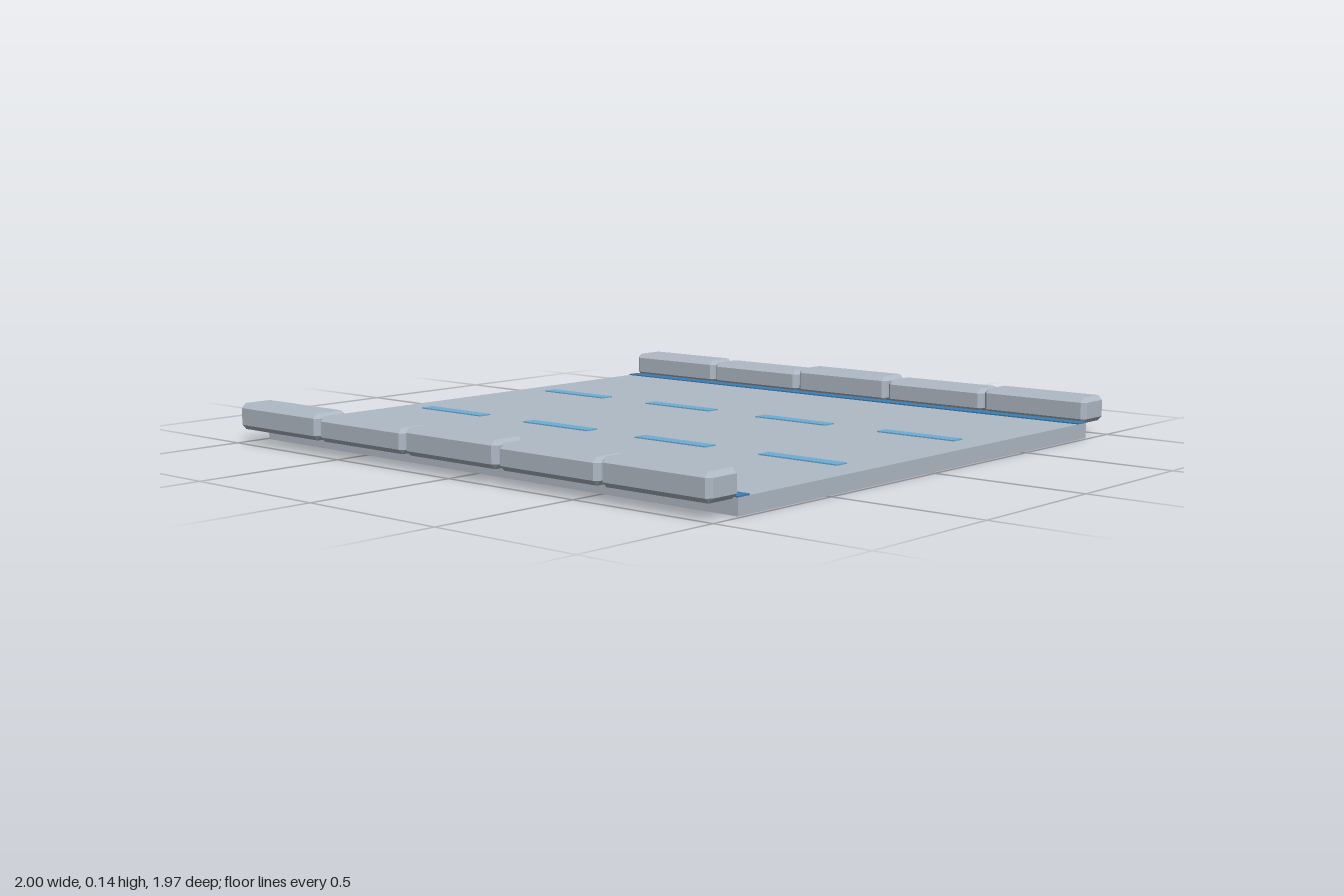
import * as THREE from 'three';
import { ConvexGeometry } from 'three/addons/geometries/ConvexGeometry.js';

// Block with all twelve edges cut at 45 degrees
function chamferedBox(w, h, d, c) {
  const points = [];
  for (const sx of [-1, 1]) for (const sy of [-1, 1]) for (const sz of [-1, 1]) {
    const x = w / 2, y = h / 2, z = d / 2;
    points.push(
      new THREE.Vector3(sx * x, sy * (y - c), sz * (z - c)),
      new THREE.Vector3(sx * (x - c), sy * y, sz * (z - c)),
      new THREE.Vector3(sx * (x - c), sy * (y - c), sz * z),
    );
  }
  return new ConvexGeometry(points);
}

export function createModel() {
  const model = new THREE.Group();
  model.name = 'roadSection';

  const material = (name, color) => {
    const m = new THREE.MeshStandardMaterial({ color });
    m.name = name;
    return m;
  };
  const stone = material('paleStone', 0xb0bac6);
  const edgeBlue = material('edgeBlue', 0x3d7fb5);
  const dashBlue = material('dashBlue', 0x6cafd4);

  const add = (name, geometry, mat, x, y, z) => {
    const mesh = new THREE.Mesh(geometry, mat);
    mesh.name = name;
    mesh.position.set(x, y, z);
    model.add(mesh);
  };

  // Road slab
  const slabTop = 0.05, length = 1.974;
  add('roadSlab', new THREE.BoxGeometry(1.77, slabTop, length), stone, 0, slabTop / 2, 0);

  // Kerb block tops, from back to front
  const tops = { left: [0.13, 0.126, 0.135, 0.126, 0.13], right: [0.13, 0.125, 0.13, 0.125, 0.13] };
  const kerbBase = 0.046;

  for (const [side, s] of [['left', 1], ['right', -1]]) {
    // Edge line beside the kerb
    add(side + 'EdgeLine', new THREE.BoxGeometry(0.05, 0.004, length), edgeBlue, s * 0.86, slabTop + 0.002, 0);

    // Kerb blocks
    tops[side].forEach((top, i) => {
      const h = top - kerbBase;
      add(side + 'KerbBlock', chamferedBox(0.125, h, 0.39, 0.015), stone,
        s * 0.9375, kerbBase + h / 2, (i - 2) * 0.396);
    });

    // Lane dashes
    for (let i = 0; i < 4; i++) {
      add(side + 'LaneDash', new THREE.BoxGeometry(0.048, 0.004, 0.288), dashBlue,
        s * 0.296, slabTop + 0.002, (i - 1.5) * 0.493);
    }
  }
  return model;
}
